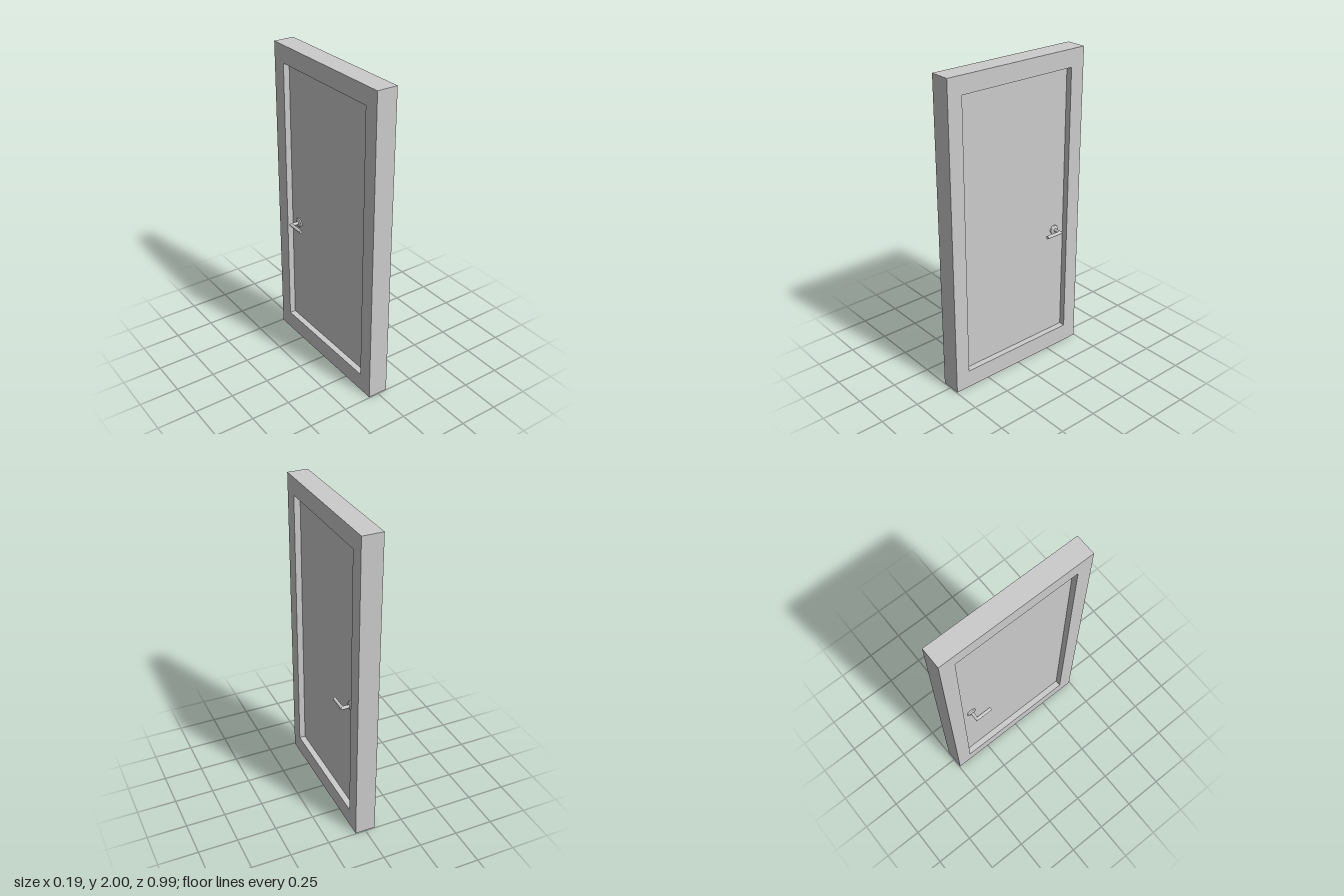
import * as THREE from 'three';

const material = new THREE.MeshStandardMaterial({ color: 0xcccccc });

// Overall sizes
const HALF_DEPTH = 0.065, HALF_WIDTH = 0.495, HEIGHT = 2;
const OPEN_HALF = 0.4, OPEN_BOTTOM = 0.117, OPEN_TOP = 1.89;
const LEAF_HALF = 0.026;
const HANDLE_Y = 0.845, HANDLE_Z = -0.324;
const BAR_RADIUS = 0.0105, BAR_X = 0.085, BAR_LENGTH = 0.107;

function mesh(name, geometry) {
  const m = new THREE.Mesh(geometry, material);
  m.name = name;
  return m;
}

// Round bar along y with one end cut at 45 degrees by a rule on its vertices
function mitredBar(length, slide) {
  const geometry = new THREE.CylinderGeometry(BAR_RADIUS, BAR_RADIUS, length, 24);
  const p = geometry.attributes.position;
  for (let i = 0; i < p.count; i++) {
    p.setY(i, p.getY(i) + slide(p.getX(i), p.getY(i), p.getZ(i)));
  }
  return geometry;
}

// Handle pointing out along +x, with its lever running towards +z
function createHandle(name) {
  const handle = new THREE.Group();
  handle.name = name;

  // Stepped round plate against the leaf
  const profile = [[0.03, 0], [0.03, 0.007], [0.027, 0.01], [0.018, 0.01], [0.016, 0.014], [0, 0.014]];
  const points = [];
  profile.forEach(([r, h]) => points.push(new THREE.Vector2(r, h)));
  const plate = mesh('rosette', new THREE.LatheGeometry(points, 24).rotateZ(-Math.PI / 2));
  plate.position.x = LEAF_HALF;

  // Stem out of the leaf, mitred into the lever
  const stemLength = BAR_X - LEAF_HALF;
  const stem = mesh('stem', mitredBar(stemLength, (x, y, z) => (y > 0 ? -z : 0)).rotateZ(-Math.PI / 2));
  stem.position.x = LEAF_HALF + stemLength / 2;

  const lever = mesh('lever', mitredBar(BAR_LENGTH, (x, y) => (y < 0 ? -x : 0)).rotateX(Math.PI / 2));
  lever.position.set(BAR_X, 0, BAR_LENGTH / 2);

  handle.add(plate, stem, lever);
  handle.position.set(0, HANDLE_Y, HANDLE_Z);
  return handle;
}

export function createModel() {
  const door = new THREE.Group();
  door.name = 'door';

  // Surrounding frame with a rectangular opening
  const outline = new THREE.Shape();
  outline.moveTo(-HALF_WIDTH, 0).lineTo(HALF_WIDTH, 0).lineTo(HALF_WIDTH, HEIGHT).lineTo(-HALF_WIDTH, HEIGHT).closePath();
  const opening = new THREE.Path();
  opening.moveTo(-OPEN_HALF, OPEN_BOTTOM).lineTo(-OPEN_HALF, OPEN_TOP).lineTo(OPEN_HALF, OPEN_TOP).lineTo(OPEN_HALF, OPEN_BOTTOM).closePath();
  outline.holes.push(opening);
  const frameGeometry = new THREE.ExtrudeGeometry(outline, { depth: HALF_DEPTH * 2, bevelEnabled: false });
  frameGeometry.translate(0, 0, -HALF_DEPTH).rotateY(Math.PI / 2);
  door.add(mesh('frame', frameGeometry));

  // Recessed leaf filling the opening
  const leaf = mesh('leaf', new THREE.BoxGeometry(LEAF_HALF * 2, OPEN_TOP - OPEN_BOTTOM, OPEN_HALF * 2));
  leaf.position.y = (OPEN_TOP + OPEN_BOTTOM) / 2;
  door.add(leaf);

  // A handle on each face; half a turn about z keeps both levers towards +z
  const leftHandle = createHandle('leftHandle');
  const rightHandle = createHandle('rightHandle');
  rightHandle.rotation.z = Math.PI;
  door.add(leftHandle, rightHandle);

  return door;
}
